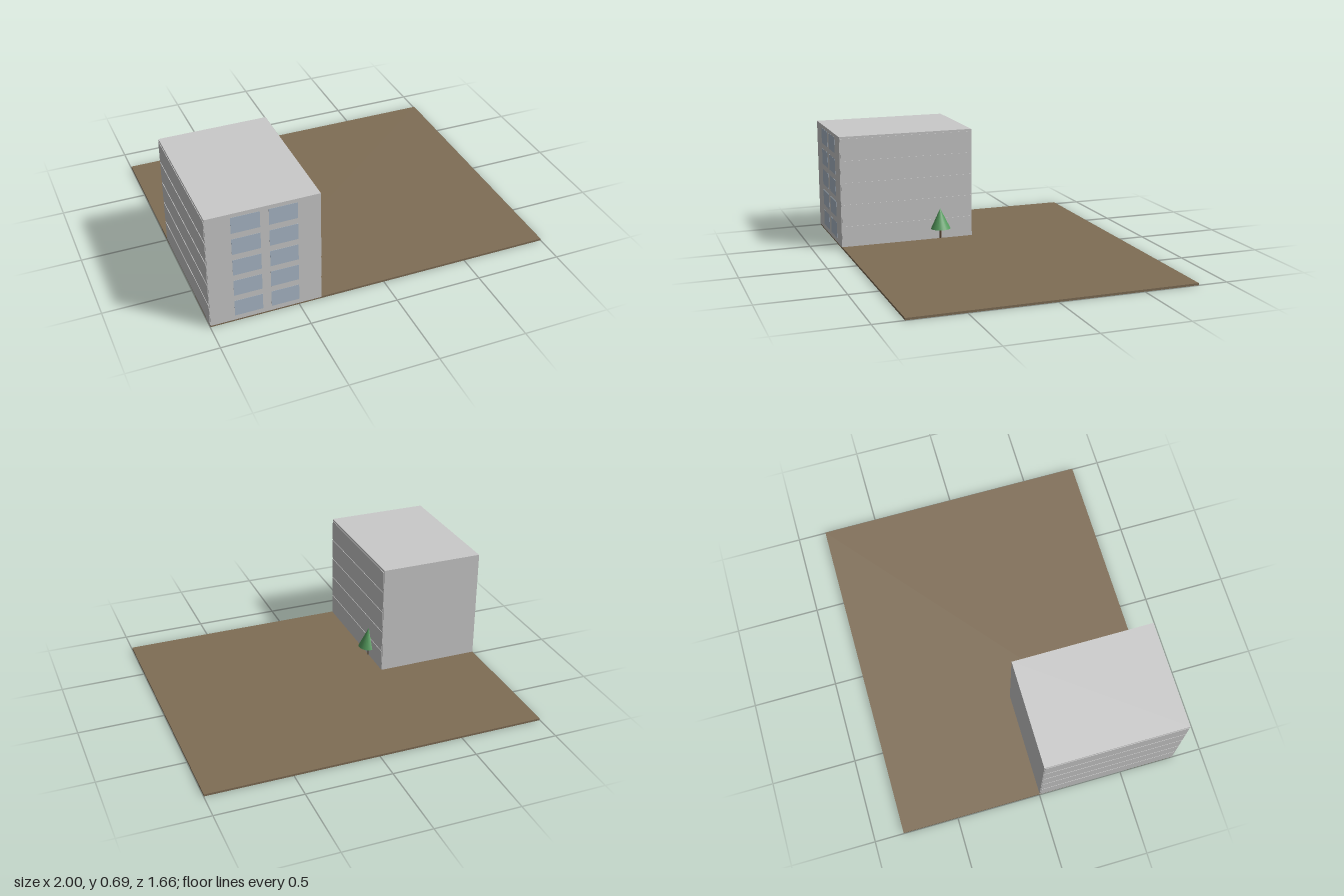
import * as THREE from 'three';

const material = (name, color) => {
  const m = new THREE.MeshStandardMaterial({ color });
  m.name = name;
  return m;
};

export function createModel() {
  const model = new THREE.Group();
  const earth = material('earth brown', 0x7f6d55);
  const concrete = material('concrete grey', 0xcacaca);
  const glass = material('window blue', 0xabbac9);
  const leaf = material('leaf green', 0x559c5e);
  const bark = material('bark brown', 0x5e4a36);

  const add = (parent, name, geometry, mat, x, y, z) => {
    const mesh = new THREE.Mesh(geometry, mat);
    mesh.name = name;
    mesh.position.set(x, y, z);
    parent.add(mesh);
    return mesh;
  };

  // Ground plate
  add(model, 'ground', new THREE.BoxGeometry(1.996, 0.012, 1.656), earth, 0, 0.006, 0);

  // Apartment block in the front corner of the plot
  const building = new THREE.Group();
  building.name = 'building';
  model.add(building);
  const cx = -0.685, cz = 0.415, width = 0.624, floors = 5, pitch = 0.134;
  add(building, 'block', new THREE.BoxGeometry(width, 0.677, 0.828), concrete, cx, 0.3475, cz);

  for (let i = 0; i < floors; i++) {
    // Raised wall panel on each side of every floor
    const panel = new THREE.BoxGeometry(0.003, 0.125, 0.818);
    for (const side of [-1, 1]) {
      add(building, 'sidePanel', panel, concrete, cx + side * (width / 2 + 0.0015), 0.0745 + i * pitch, cz);
    }
    // Pair of front windows
    for (const x of [-0.783, -0.578]) {
      add(building, 'window', new THREE.BoxGeometry(0.157, 0.097, 0.002), glass, x, 0.0855 + i * 0.1323, 0.829);
    }
  }

  // Conifer against the side wall
  const tree = new THREE.Group();
  tree.name = 'tree';
  tree.position.set(-0.37, 0, 0.208);
  model.add(tree);
  add(tree, 'trunk', new THREE.CylinderGeometry(0.006, 0.006, 0.08, 12), bark, 0, 0.048, 0);
  add(tree, 'foliage', new THREE.ConeGeometry(0.0625, 0.125, 24), leaf, 0, 0.138, 0);

  return model;
}
